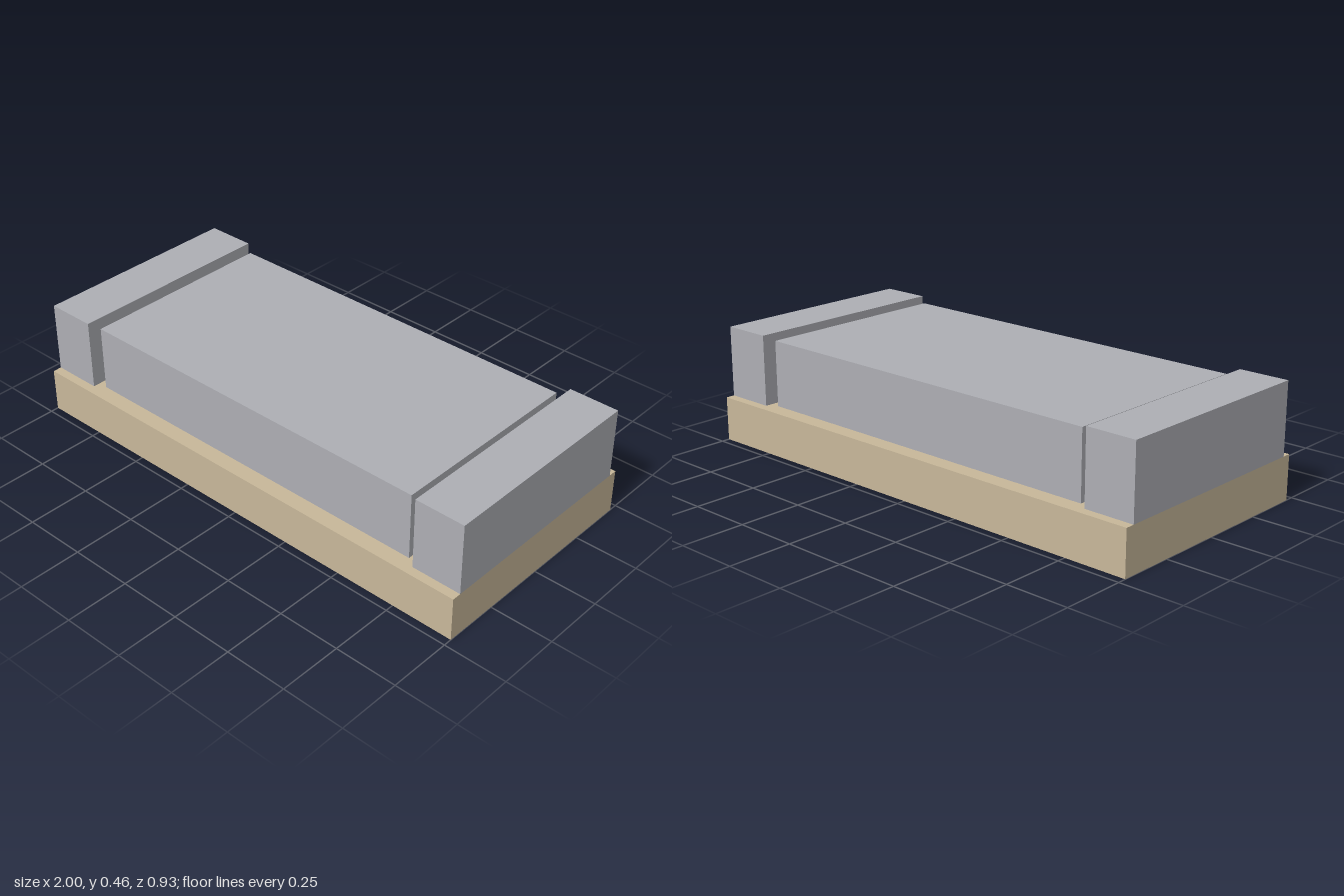
import * as THREE from 'three';

export function createModel() {
  const model = new THREE.Group();
  const tan = new THREE.MeshStandardMaterial({ color: 0xc8b89a });
  tan.name = 'tan base';
  const grey = new THREE.MeshStandardMaterial({ color: 0xaeafb5 });
  grey.name = 'grey blocks';

  // Adds a box whose underside rests at height y
  const addBox = (name, material, w, h, d, x, y) => {
    const mesh = new THREE.Mesh(new THREE.BoxGeometry(w, h, d), material);
    mesh.name = name;
    mesh.position.set(x, y + h / 2, 0);
    model.add(mesh);
  };

  const baseHeight = 0.175;

  // Wide slab that carries everything
  addBox('base', tan, 2, baseHeight, 0.934, 0, 0);

  // Long middle block
  addBox('centreBlock', grey, 1.524, 0.263, 0.806, 0, baseHeight);

  // Slightly taller block at each end, flush with the base
  for (const [name, side] of [['leftEndBlock', 1], ['rightEndBlock', -1]]) {
    addBox(name, grey, 0.2, 0.282, 0.862, side * 0.9, baseHeight);
  }

  return model;
}
